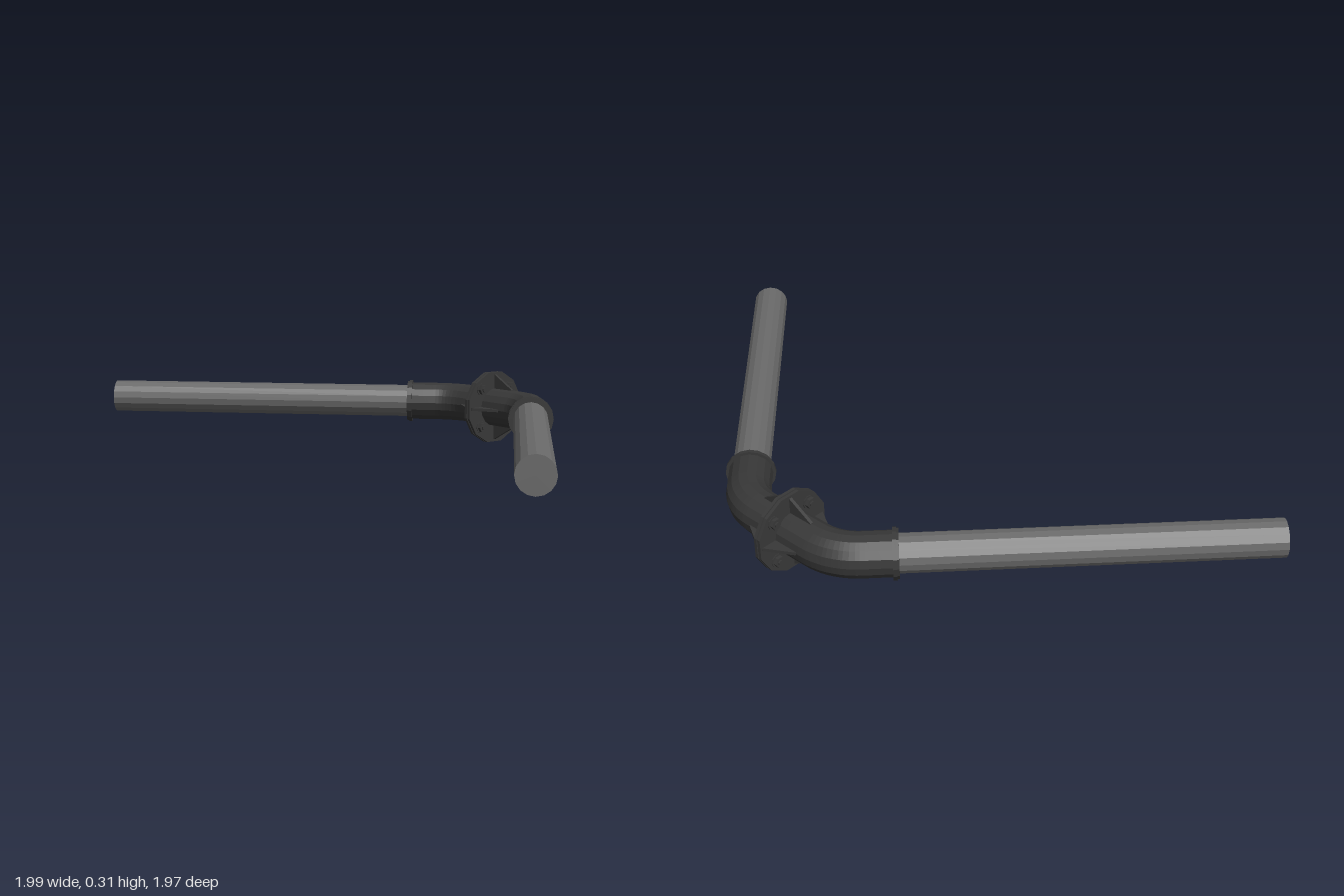
import * as THREE from 'three';

const PIPE_R = 0.071, ELBOW_R = 0.083, AXIS = 0.9, JOINT = 0.738, HEIGHT = 0.153;
const pipeMat = new THREE.MeshStandardMaterial({ color: 0x6a6a6a, flatShading: true });
const fittingMat = new THREE.MeshStandardMaterial({ color: 0x383838, flatShading: true });

function add(parent, name, geometry, material) {
  const mesh = new THREE.Mesh(geometry, material);
  mesh.name = name;
  parent.add(mesh);
  return mesh;
}

// Closed cylinder along x between two positions
function rodX(r, x0, x1, sides) {
  return new THREE.CylinderGeometry(r, r, x1 - x0, sides)
    .rotateZ(Math.PI / 2).translate((x0 + x1) / 2, 0, -AXIS);
}

// Closed cylinder along z between two positions, with a flat facing up
function rodZ(r, z0, z1, sides) {
  return new THREE.CylinderGeometry(r, r, z1 - z0, sides)
    .rotateY(Math.PI / sides).rotateX(Math.PI / 2).translate(0, 0, (z0 + z1) / 2);
}

// One pipe, its 45 degree elbow and its half of the bolted flange
function createHalf(pipeEnd) {
  const half = new THREE.Group();
  add(half, 'pipe', rodX(PIPE_R, pipeEnd, 0.4, 16), pipeMat);
  add(half, 'collar', rodX(0.09, 0.355, 0.365, 16), fittingMat);
  add(half, 'collarRim', rodX(0.094, 0.363, 0.377, 16), fittingMat);

  // Elbow: straight socket, circular bend, short straight into the flange
  const R = 0.22, cornerX = 2 * JOINT - AXIS, startX = cornerX - R * Math.tan(Math.PI / 8);
  const pts = [new THREE.Vector3(0.365, 0, -AXIS)];
  const steps = 8;
  for (let i = 0; i <= steps; i++) {
    const a = (i / steps) * Math.PI / 4;
    pts.push(new THREE.Vector3(startX + R * Math.sin(a), 0, -AXIS + R * (1 - Math.cos(a))));
  }
  pts.push(new THREE.Vector3(JOINT - 0.005, 0, -JOINT - 0.005));
  const path = new THREE.CurvePath();
  for (let i = 1; i < pts.length; i++) path.add(new THREE.LineCurve3(pts[i - 1], pts[i]));
  add(half, 'elbow', new THREE.TubeGeometry(path, 28, ELBOW_R, 16), fittingMat);

  // Flange half: local z runs back along the elbow axis
  const flange = new THREE.Group();
  flange.name = 'flange';
  flange.position.set(JOINT, 0, -JOINT);
  flange.rotation.y = -3 * Math.PI / 4;
  half.add(flange);
  add(flange, 'flangeDisc', rodZ(0.158, 0.002, 0.015, 12), fittingMat);

  // Tapered ribs bracing the flange against the elbow
  const ribShape = new THREE.Shape([[0.07, 0.01], [0.143, 0.01], [0.143, 0.016], [0.085, 0.119], [0.07, 0.119]]
    .map(([x, y]) => new THREE.Vector2(x, y)));
  const ribGeo = new THREE.ExtrudeGeometry(ribShape, { depth: 0.012, bevelEnabled: false })
    .translate(0, 0, -0.006).rotateX(Math.PI / 2);
  for (let k = 0; k < 4; k++) {
    add(flange, 'rib', ribGeo, fittingMat).rotation.z = k * Math.PI / 2;
    // Bolt head with washer and stud, between the ribs
    const a = (k + 0.5) * Math.PI / 2;
    const bolt = new THREE.Group();
    bolt.name = 'bolt';
    bolt.position.set(0.117 * Math.cos(a), 0.117 * Math.sin(a), 0);
    flange.add(bolt);
    add(bolt, 'washer', rodZ(0.027, 0.013, 0.018, 10), fittingMat);
    add(bolt, 'boltHead', rodZ(0.022, 0.017, 0.032, 6), fittingMat);
    add(bolt, 'stud', rodZ(0.011, 0, 0.038, 8), fittingMat);
  }
  return half;
}

export function createModel() {
  const model = new THREE.Group();
  model.name = 'pipeCorner';
  const back = createHalf(-1);
  back.name = 'backPipeRun';
  // The second run is the first turned over about the flange diagonal
  const side = createHalf(-0.98);
  side.name = 'sidePipeRun';
  side.quaternion.setFromAxisAngle(new THREE.Vector3(1, 0, -1).normalize(), Math.PI);
  model.add(back, side);
  for (const run of model.children) run.position.set(0.003, HEIGHT, 0.005);
  return model;
}
